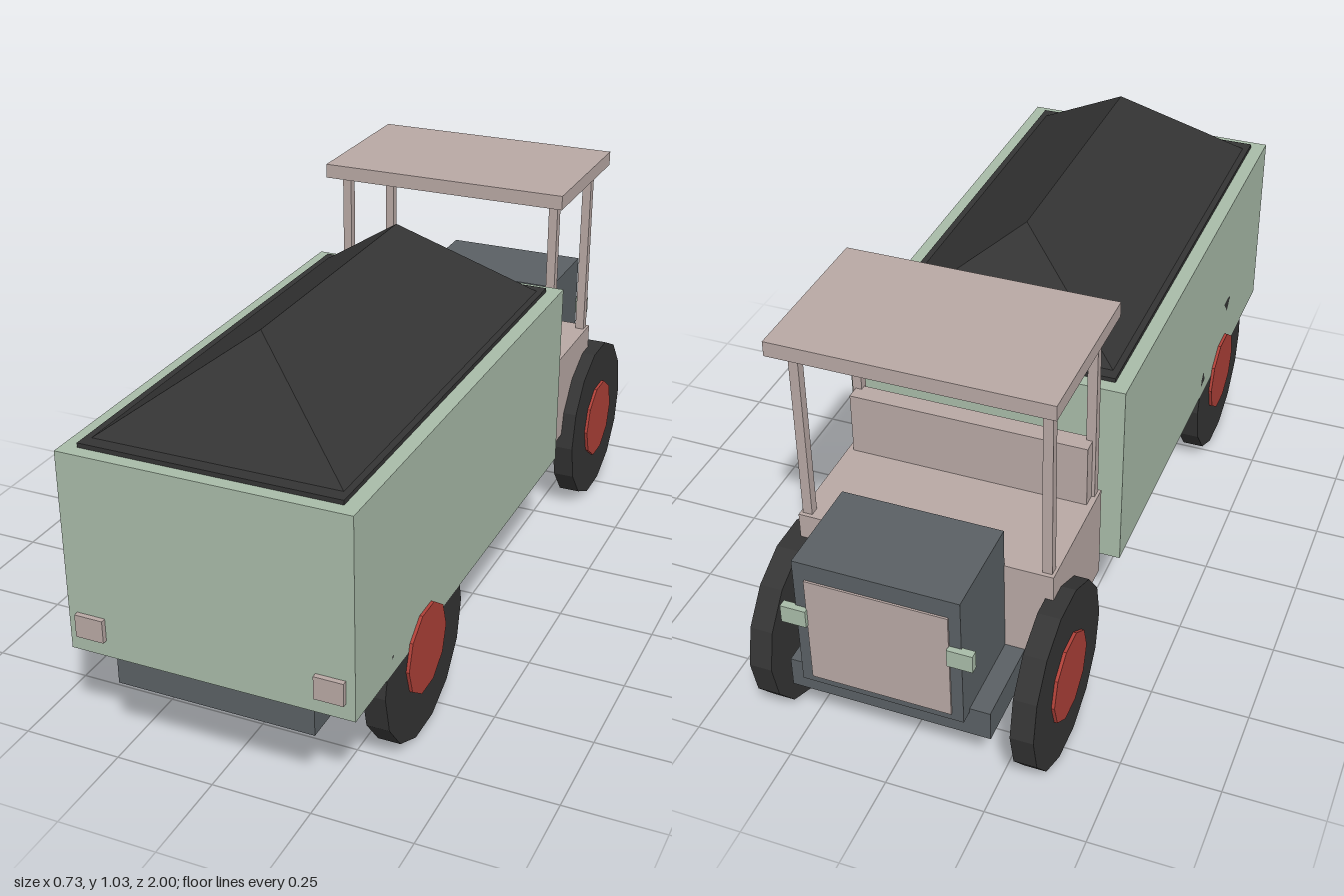
import * as THREE from 'three';

const mat = (name, color) => {
  const m = new THREE.MeshStandardMaterial({ color });
  m.name = name;
  return m;
};

export function createModel() {
  const green = mat('pale green', 0xa8bba8);
  const pink = mat('dusty pink', 0xb8a8a4);
  const slate = mat('slate grey', 0x5a6064);
  const black = mat('black', 0x343434);
  const red = mat('red', 0xae4038);

  const truck = new THREE.Group();
  truck.name = 'truck';

  const add = (name, geometry, material) => {
    const mesh = new THREE.Mesh(geometry, material);
    mesh.name = name;
    truck.add(mesh);
    return mesh;
  };

  // Box given by its limits along each axis
  const box = (name, material, x0, x1, y0, y1, z0, z1) => {
    const mesh = add(name, new THREE.BoxGeometry(x1 - x0, y1 - y0, z1 - z0), material);
    mesh.position.set((x0 + x1) / 2, (y0 + y1) / 2, (z0 + z1) / 2);
    return mesh;
  };

  // Chassis and cargo box
  box('chassis', slate, -0.25, 0.25, 0.195, 0.275, -0.95, 0.97);
  box('cargoBox', green, -0.357, 0.357, 0.274, 0.78, -0.345, 0.987);

  // Load: a thin slab with a hipped heap on top
  box('loadBase', black, -0.32, 0.32, 0.77, 0.791, -0.31, 0.953);
  const heap = new THREE.BoxGeometry(0.61, 0.22, 1.2);
  const p = heap.attributes.position;
  for (let i = 0; i < p.count; i++) {
    if (p.getY(i) > 0) p.setXYZ(i, 0, 0.11, Math.sign(p.getZ(i)) * 0.37);
  }
  const heapGeo = heap.toNonIndexed();
  heapGeo.computeVertexNormals();
  add('loadHeap', heapGeo, black).position.set(0, 0.9, 0.32);

  // Cab body, seat back, roof and hood
  box('cabBody', pink, -0.32, 0.32, 0.265, 0.52, -0.73, -0.395);
  box('seatBack', pink, -0.305, 0.305, 0.52, 0.685, -0.46, -0.41);
  box('roof', pink, -0.34, 0.34, 0.997, 1.035, -0.775, -0.352);
  box('hood', slate, -0.2, 0.2, 0.265, 0.622, -0.985, -0.728);
  box('grille', pink, -0.172, 0.172, 0.285, 0.575, -0.99, -0.984);

  for (const s of [-1, 1]) {
    const side = s > 0 ? 'left' : 'right';
    const sideBox = (name, m, x0, x1, ...rest) =>
      box(side + name, m, Math.min(s * x0, s * x1), Math.max(s * x0, s * x1), ...rest);

    // Roof posts and lamps
    sideBox('RearPost', pink, 0.289, 0.313, 0.52, 0.997, -0.425, -0.401);
    sideBox('FrontPost', pink, 0.289, 0.313, 0.52, 0.997, -0.72, -0.696);
    sideBox('Headlamp', green, 0.17, 0.232, 0.445, 0.492, -1, -0.98);
    sideBox('TailPlate', pink, 0.263, 0.335, 0.316, 0.374, 0.98, 1);

    // Wheels and hubs
    for (const z of [-0.73, 0.6]) {
      const disc = (name, r, x0, x1, sides, m) => {
        const geo = new THREE.CylinderGeometry(r, r, x1 - x0, sides).toNonIndexed();
        geo.rotateZ(Math.PI / 2);
        geo.computeVertexNormals();
        add(side + name, geo, m).position.set(s * (x0 + x1) / 2, 0.228, z);
      };
      disc('Wheel', 0.23, 0.3, 0.357, 14, black);
      disc('Hub', 0.113, 0.35, 0.365, 10, red);
    }
  }
  return truck;
}
